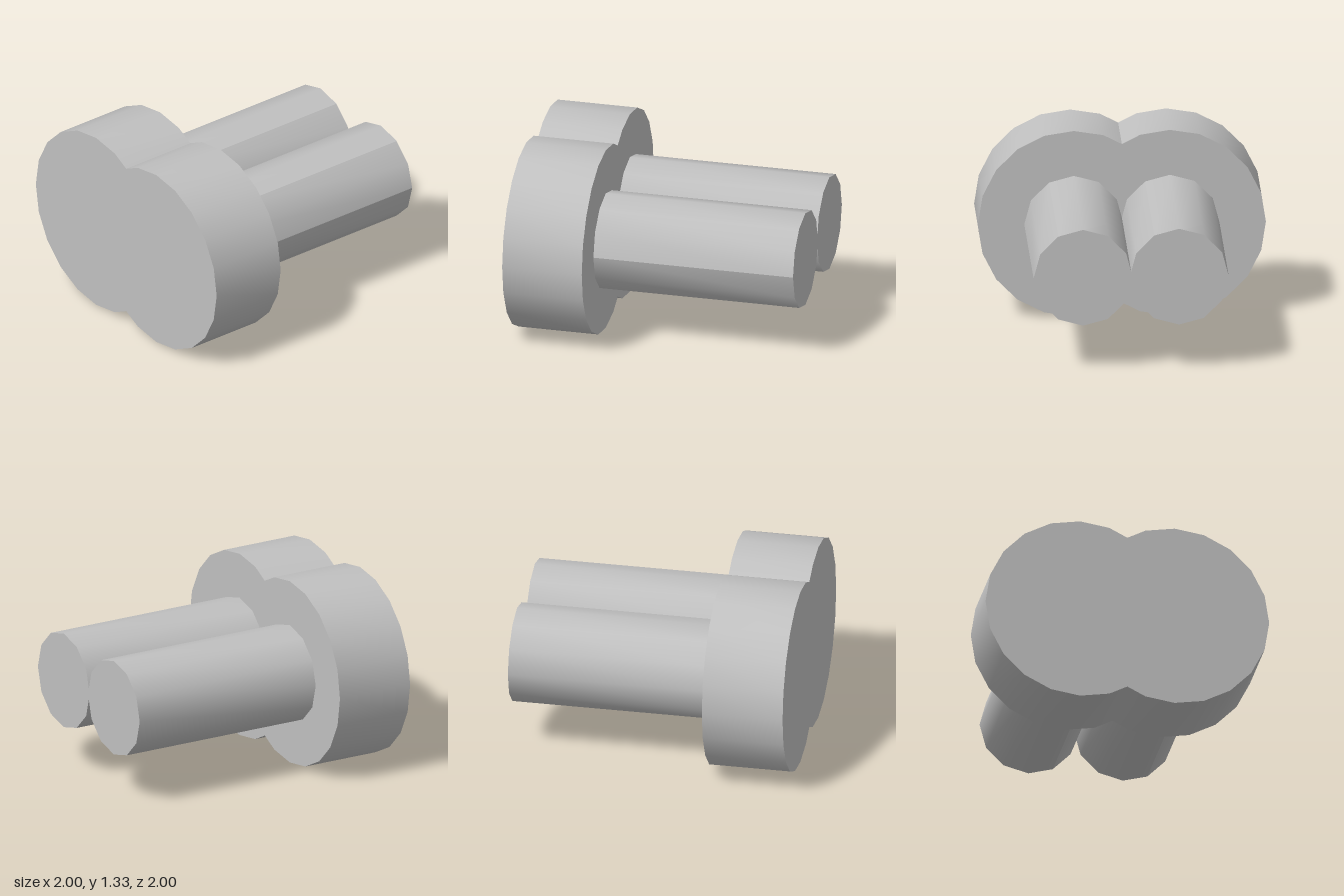
import * as THREE from 'three';

const LOBE_Z = 1 / 3, CENTRE_Y = 2 / 3;

// Half outline in (z, y): an n-sided lobe cut off at z = 0, from bottom to top.
function lobe(r, n) {
  const at = (i) => {
    const a = (i / n) * Math.PI * 2 - Math.PI;
    return new THREE.Vector2(LOBE_Z + r * Math.cos(a), r * Math.sin(a));
  };
  const points = [];
  for (let i = 0; i < n; i++) {
    const a = at(i), b = at(i + 1);
    if (a.x > 0) points.push(a);
    if (a.x * b.x < 0) points.push(a.clone().lerp(b, a.x / (a.x - b.x)));
  }
  return points;
}

// Two lobes joined in one counter-clockwise outline; it begins at the lower notch.
function outline(r, n) {
  const half = lobe(r, n);
  const mirrored = half.slice(1, -1).reverse().map((p) => new THREE.Vector2(-p.x, p.y));
  return [...half, ...mirrored];
}

// Side wall between x0 and x1, split wherever isSharp says so.
function wall(points, x0, x1, isSharp) {
  const positions = [], index = [];
  const add = (p) => positions.push(x0, p.y, p.x, x1, p.y, p.x);
  points.forEach((a, i) => {
    if (isSharp(a)) add(a);
    add(points[(i + 1) % points.length]);
    const k = positions.length / 3 - 4;
    index.push(k, k + 1, k + 2, k + 1, k + 3, k + 2);
  });
  const geometry = new THREE.BufferGeometry();
  geometry.setAttribute('position', new THREE.Float32BufferAttribute(positions, 3));
  geometry.setIndex(index);
  geometry.computeVertexNormals();
  return geometry;
}

// Flat end at x, facing +x (direction 1) or -x (direction -1).
function cap(points, x, direction, hole) {
  const shape = new THREE.Shape(points);
  if (hole) shape.holes.push(new THREE.Path(hole));
  return new THREE.ShapeGeometry(shape).rotateY(direction * Math.PI / 2).translate(x, 0, 0);
}

export function createModel() {
  const grey = new THREE.MeshStandardMaterial({ color: 0xc0c0c0 });
  grey.name = 'grey';
  const model = new THREE.Group();
  model.name = 'twinPegPlug';
  const part = (name, geometry) => {
    const mesh = new THREE.Mesh(geometry, grey);
    mesh.name = name;
    mesh.position.y = CENTRE_Y;
    model.add(mesh);
  };

  const headX = -1, shoulderX = -0.43, tipX = 1, pegRadius = 0.344;
  const head = outline(2 / 3, 20);
  const pegs = outline(pegRadius, 12);

  // Edges that stay sharp: the notch, and on each peg the vertices at 0 and 60 degrees.
  const isNotch = (p) => Math.abs(p.x) < 1e-6;
  const isPegEdge = (p) => {
    const angle = Math.atan2(p.y, p.x - Math.sign(p.x) * LOBE_Z);
    return isNotch(p) || [0, Math.PI / 3].some((a) => Math.abs(Math.abs(angle) - a) < 0.01);
  };

  // Thick double-round head
  part('headSide', wall(head, headX, shoulderX, isNotch));
  part('headEnd', cap(head, headX, -1));
  part('headShoulder', cap(head, shoulderX, 1, pegs));

  // Two joined pegs
  part('pegSides', wall(pegs, shoulderX, tipX, isPegEdge));
  part('pegEnds', cap(pegs, tipX, 1));
  return model;
}
